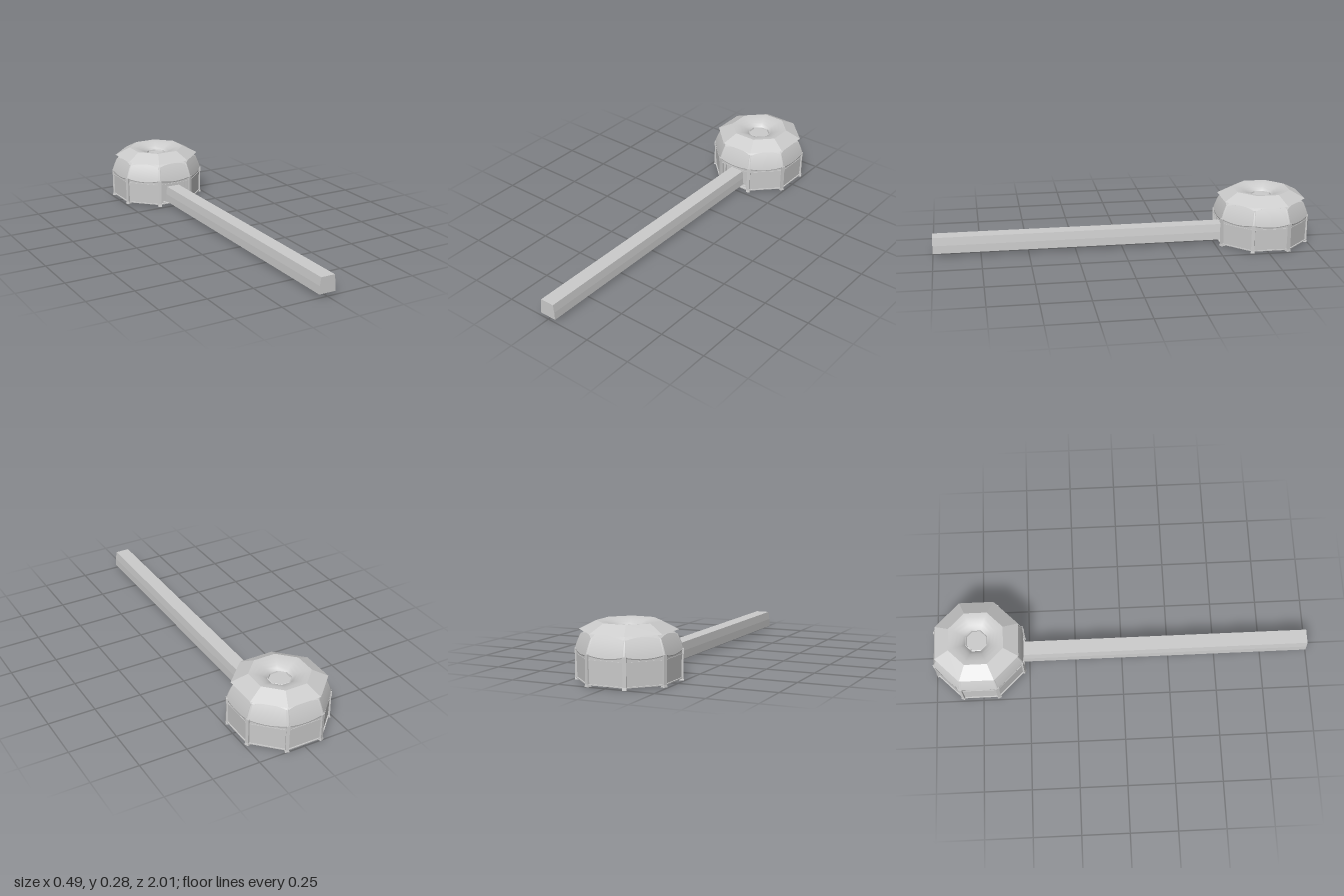
import * as THREE from 'three';
import { toCreasedNormals } from 'three/addons/utils/BufferGeometryUtils.js';

const CENTRE_Z = -0.762;
const APO = 0.234;                        // distance from centre to each wall
const TAN = Math.tan(Math.PI / 8);
const COS = Math.cos(Math.PI / 8);

const grey = new THREE.MeshStandardMaterial({ color: 0xcccccc, side: THREE.DoubleSide });
const flat = new THREE.MeshStandardMaterial({ color: 0xcccccc, side: THREE.DoubleSide, flatShading: true });
const tan = new THREE.MeshStandardMaterial({ color: 0xc89a50, side: THREE.DoubleSide });

function add(parent, name, geometry, material = flat) {
  const mesh = new THREE.Mesh(geometry, material);
  mesh.name = name;
  parent.add(mesh);
  return mesh;
}

// Octagonal ring from a profile of [apothem, y], with flats facing the axes
function octagon(profile) {
  const points = profile.map(([a, y]) => new THREE.Vector2(a / COS, y));
  return new THREE.LatheGeometry(points, 8, Math.PI / 8);
}

// Curved panel: rule(u, v) gives [x, y, z], u from -1 to 1, v from 0 to 1
function panel(nu, nv, rule) {
  const g = new THREE.PlaneGeometry(2, 1, nu, nv);
  const p = g.attributes.position;
  for (let i = 0; i < p.count; i++) p.setXYZ(i, ...rule(p.getX(i), p.getY(i) + 0.5));
  g.computeVertexNormals();
  return g;
}

// Upright plate with a rectangular hole; both given as [left, bottom, right, top]
function frame(outer, hole, depth) {
  const trace = (path, [l, b, r, t]) => path.moveTo(l, b).lineTo(r, b).lineTo(r, t).lineTo(l, t).closePath();
  const shape = new THREE.Shape();
  trace(shape, outer);
  const cut = new THREE.Path();
  trace(cut, hole);
  shape.holes.push(cut);
  return new THREE.ExtrudeGeometry(shape, { depth, bevelEnabled: false });
}

// Dome apothem at height y
const domeApothem = (y) => {
  const t = (y - 0.15) / 0.085;
  return 0.236 - 0.022 * t - 0.01 * t * t;
};

export function createModel() {
  const model = new THREE.Group();
  const hall = new THREE.Group();
  hall.name = 'octagonalHall';
  hall.position.z = CENTRE_Z;
  model.add(hall);

  // Floor slab
  const slab = new THREE.CylinderGeometry(APO / COS, APO / COS, 0.006, 8).rotateY(Math.PI / 8).translate(0, 0.011, 0);
  add(hall, 'floor', slab);

  for (let i = 0; i < 8; i++) {
    const side = new THREE.Group();
    side.name = 'side' + i;
    side.rotation.y = i * Math.PI / 4;
    hall.add(side);

    // Walls; the front one has a stepped doorway
    if (i === 0) {
      add(side, 'doorway', frame([-0.097, 0.01, 0.097, 0.128], [-0.084, 0.013, 0.084, 0.124], 0.014)).position.z = APO - 0.014;
      add(side, 'innerDoorFrame', frame([-0.086, 0.01, 0.086, 0.126], [-0.071, 0.018, 0.071, 0.119], 0.014)).position.z = APO - 0.027;
      add(side, 'door', new THREE.PlaneGeometry(0.15, 0.11).translate(0, 0.068, APO - 0.025));
    } else {
      add(side, 'wall', panel(8, 6, (u, v) => [u * APO * TAN, 0.01 + v * 0.116, APO - 0.003 + 0.003 * v]), grey);
    }
    add(side, 'wallSill', new THREE.BoxGeometry(0.19, 0.005, 0.006).translate(0, 0.0115, APO));

    // Band over the wall, with a drooping dome hem above it
    add(side, 'band', panel(1, 1, (u, v) => [u * APO * TAN, 0.125 + v * 0.03, APO]));
    add(side, 'bandTrim', new THREE.BoxGeometry(0.19, 0.003, 0.005).translate(0, 0.1265, APO));
    add(side, 'domeHem', panel(10, 1, (u, v) => [
      u * 0.236 * TAN, 0.152 - 0.013 * (1 - u * u) - 0.005 * (1 - v), 0.2365 + 0.002 * v]), grey);

    // Dome panel with an arched top edge
    add(side, 'domePanel', panel(12, 8, (u, v) => {
      const low = 0.152 - 0.013 * (1 - u * u);
      const y = low + v * (0.221 + 0.014 * (1 - u * u) - low);
      const a = domeApothem(y);
      return [u * a * TAN, y, a];
    }), grey);
    // Set-back panel closing the gap under the roof
    add(side, 'eaves', panel(10, 1, (u, v) => {
      const y = v ? 0.252 : 0.221 + 0.014 * (1 - u * u);
      const a = v ? 0.17 : domeApothem(y);
      return [u * a * TAN, y, a];
    }), grey);

    // Corner post, foot and curved rib
    const corner = new THREE.Group();
    corner.name = 'corner' + i;
    corner.rotation.y = (i + 0.5) * Math.PI / 4;
    hall.add(corner);
    const r = APO / COS;
    add(corner, 'post', new THREE.BoxGeometry(0.017, 0.142, 0.012).translate(0, 0.081, r - 0.002));
    add(corner, 'postCap', new THREE.BoxGeometry(0.02, 0.026, 0.013).translate(0, 0.14, r - 0.001));
    const foot = new THREE.CylinderGeometry(0.013, 0.016, 0.012, 4).rotateY(Math.PI / 4);
    add(corner, 'foot', foot.translate(0, 0.006, r - 0.005));
    add(corner, 'rib', panel(2, 6, (u, v) => {
      const y = 0.15 + v * 0.075;
      return [u * (0.008 - 0.003 * v), y, domeApothem(y) / COS + 0.003 - 0.005 * Math.abs(u)];
    }), grey);
  }

  // Roof: sloping skirt, then a funnel sinking to a closed well
  add(hall, 'roofSkirt', octagon([[0.219, 0.243], [0.143, 0.285]]));
  const funnel = octagon([[0.143, 0.285], [0.12, 0.282], [0.1, 0.276], [0.08, 0.267], [0.065, 0.257], [0.057, 0.248]]);
  add(hall, 'roofFunnel', toCreasedNormals(funnel, 0.9), grey);
  add(hall, 'roofWell', octagon([[0.057, 0.248], [0.053, 0.251], [0.051, 0.244], [0, 0.244]]));

  // Floor plates under three of the sides
  for (const [x, z, w, d] of [[0.19, 0.05, 0.045, 0.04], [0, -0.18, 0.075, 0.05], [-0.2, -0.02, 0.04, 0.08]]) {
    add(hall, 'floorPlate', new THREE.BoxGeometry(w, 0.002, d).translate(x, 0.0075, z), tan);
  }

  // Long passage of tapered section leading out of the doorway
  const section = new THREE.Shape([[-0.046, 0.018], [0.046, 0.018], [0.044, 0.06], [0.038, 0.103], [-0.038, 0.103], [-0.044, 0.06]]
    .map(([x, y]) => new THREE.Vector2(x, y)));
  const start = CENTRE_Z + APO - 0.025;
  const passage = new THREE.ExtrudeGeometry(section, { depth: 1 - start, bevelEnabled: false });
  add(model, 'passage', passage.translate(0, 0, start));

  return model;
}
